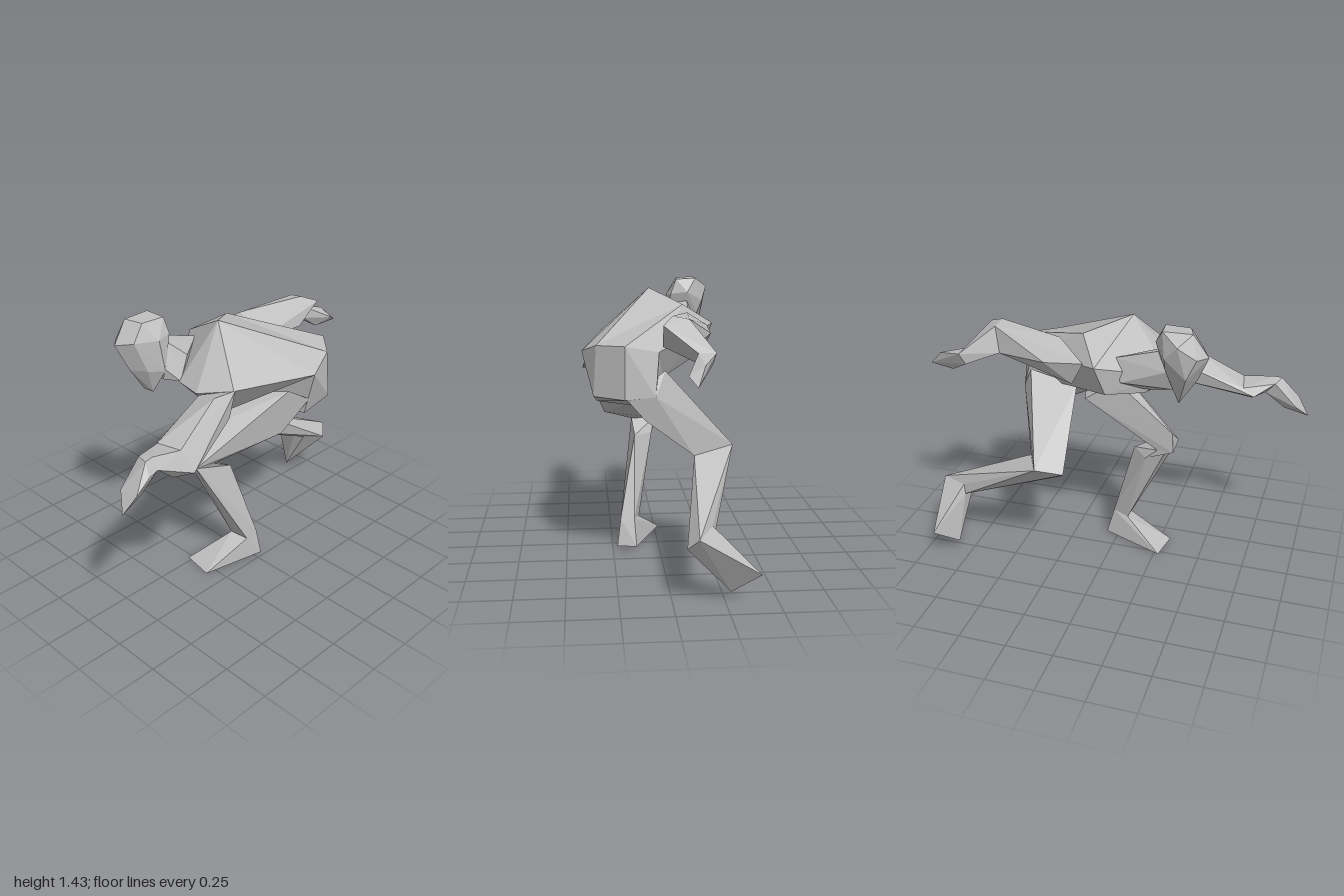
import * as THREE from 'three';
import { ConvexGeometry } from 'three/addons/geometries/ConvexGeometry.js';

const clay = new THREE.MeshStandardMaterial({ color: 0xbfbfbf, flatShading: true });
clay.name = 'clay grey';

// Faceted body part wrapped around corner rings
function hull(name, ...rings) {
  const points = rings.flat().map(p => new THREE.Vector3(...p));
  const mesh = new THREE.Mesh(new ConvexGeometry(points), clay);
  mesh.name = name;
  return mesh;
}

// Limb: each segment joins one ring of joint corners to the next
function limb(name, segments, rings) {
  const group = new THREE.Group();
  group.name = name;
  segments.forEach((s, i) => group.add(hull(s, rings[i], rings[i + 1])));
  return group;
}

export function createModel() {
  const model = new THREE.Group();
  model.name = 'crouchedRunner';

  // Torso: hunched chest, lower back and pelvis
  const shoulderBlade = [-0.12, 1.33, -0.12], belly = [0.10, 0.92, -0.03];
  const waist = [[0.405, 1.11, -0.23], [0.335, 1.16, -0.41], [0.03, 1.13, -0.46]];
  const tailbone = [0.20, 1.17, -0.54], groin = [0.00, 0.98, -0.30];
  model.add(hull('chest',
    [[0.04, 1.40, 0.10], [0.30, 1.15, 0.25], [-0.29, 1.22, -0.01], shoulderBlade],
    [[0.13, 1.11, 0.34], [-0.025, 1.11, 0.31], [-0.235, 1.06, 0.03], [-0.09, 1.03, 0.20],
      [0.17, 0.97, 0.22], belly, groin], waist));
  model.add(hull('lowerBack', [shoulderBlade, belly, groin, tailbone], waist));
  model.add(hull('pelvis', waist,
    [tailbone, groin, [0.35, 0.91, -0.42], [0.20, 0.91, -0.54], [0.05, 0.92, -0.52],
      [0.33, 0.855, -0.25], [0.15, 0.835, -0.29], [0.10, 0.94, -0.10]]));

  // Head, bowed forward with a long chin, and neck
  model.add(hull('head',
    [[-0.24, 1.435, 0.32], [-0.13, 1.43, 0.31], [-0.235, 1.435, 0.47], [-0.14, 1.43, 0.44]],
    [[-0.31, 1.385, 0.41], [-0.28, 1.31, 0.34], [-0.28, 1.32, 0.50], [-0.225, 1.32, 0.55],
      [-0.135, 1.34, 0.50], [-0.08, 1.34, 0.385], [-0.19, 1.36, 0.275], [-0.10, 1.35, 0.30]],
    [[-0.28, 1.21, 0.45], [-0.19, 1.18, 0.49], [-0.11, 1.18, 0.44], [-0.19, 1.045, 0.40],
      [-0.135, 1.045, 0.39], [-0.07, 1.17, 0.36], [-0.25, 1.24, 0.34]]));
  model.add(hull('neck',
    [[-0.20, 1.12, 0.37], [-0.09, 1.12, 0.36], [-0.19, 1.31, 0.29], [-0.10, 1.30, 0.31],
      [-0.23, 1.22, 0.34], [-0.07, 1.18, 0.36]],
    [[-0.025, 1.11, 0.30], [-0.20, 1.12, 0.10], [-0.17, 1.24, 0.06], [-0.06, 1.22, 0.22],
      [-0.09, 1.05, 0.20]]));

  // Left arm reaching forward
  model.add(limb('leftArm', ['leftUpperArm', 'leftForearm', 'leftHand'], [
    [[0.15, 1.11, 0.34], [0.285, 1.15, 0.37], [0.30, 1.15, 0.24], [0.17, 1.01, 0.31],
      [0.31, 1.02, 0.29]],
    [[0.40, 0.89, 0.61], [0.34, 0.875, 0.69], [0.19, 0.95, 0.72], [0.34, 1.00, 0.64],
      [0.20, 0.99, 0.66]],
    [[0.255, 1.01, 0.82], [0.325, 1.025, 0.80], [0.36, 0.97, 0.80], [0.27, 0.95, 0.77]],
    [[0.26, 0.885, 0.94], [0.34, 0.81, 1.00], [0.375, 0.90, 0.94], [0.37, 0.96, 0.86],
      [0.33, 1.02, 0.845], [0.32, 0.85, 0.87]],
  ]));

  // Right arm trailing behind
  model.add(limb('rightArm', ['rightUpperArm', 'rightForearm', 'rightHand'], [
    [[-0.13, 1.30, -0.24], [-0.25, 1.22, -0.08], [-0.245, 1.20, -0.29], [-0.22, 1.09, -0.15],
      [-0.03, 1.15, -0.28]],
    [[-0.10, 1.305, -0.61], [0.03, 1.285, -0.685], [0.02, 1.17, -0.55], [-0.13, 1.17, -0.58],
      [-0.02, 1.32, -0.60]],
    [[-0.205, 1.17, -0.78], [-0.12, 1.17, -0.785], [-0.13, 1.115, -0.755], [-0.19, 1.11, -0.75]],
    [[-0.095, 1.05, -1.00], [-0.06, 1.09, -0.93], [-0.135, 1.135, -0.92], [-0.12, 1.04, -0.86]],
  ]));

  // Left leg: raised knee with the foot planted
  const leftKnee = [[-0.015, 0.775, 0.335], [-0.03, 0.67, 0.345], [0.12, 0.675, 0.34],
    [0.13, 0.66, 0.22], [0.00, 0.655, 0.25]];
  const leftCalf = [[0.12, 0.675, 0.34], [0.01, 0.64, 0.29], [0.02, 0.585, 0.18],
    [0.12, 0.59, 0.09]];
  const leftAnkle = [[0.10, 0.135, 0.06], [0.20, 0.125, 0.04], [0.205, 0.15, -0.03],
    [0.13, 0.15, -0.03]];
  model.add(hull('leftThigh', leftKnee,
    [[0.10, 0.98, -0.01], [0.33, 1.03, -0.12], [0.36, 0.95, -0.25], [0.29, 0.77, -0.12],
      [0.13, 0.84, -0.20]]));
  model.add(hull('leftKnee', leftKnee.slice(1), leftCalf));
  model.add(hull('leftShin', leftCalf, leftAnkle));
  model.add(hull('leftFoot', leftAnkle,
    [[-0.025, 0, 0.275], [0.15, 0, 0.305], [0.225, 0, -0.05], [0.12, 0, -0.07]]));

  // Right leg kicked back
  model.add(limb('rightLeg', ['rightThigh', 'rightShin', 'rightFoot'], [
    [[0.00, 0.98, -0.20], [0.00, 1.04, -0.46], [0.05, 0.92, -0.52], [0.19, 0.91, -0.535],
      [0.10, 0.80, -0.50], [0.15, 0.83, -0.29]],
    [[-0.36, 0.63, -0.32], [-0.32, 0.605, -0.175], [-0.225, 0.535, -0.23], [-0.15, 0.60, -0.42]],
    [[-0.20, 0.31, -0.81], [-0.12, 0.31, -0.80], [-0.06, 0.29, -0.92], [-0.11, 0.35, -0.975],
      [-0.19, 0.365, -0.82]],
    [[-0.41, 0.155, -0.92], [-0.28, 0.04, -0.83]],
  ]));

  return model;
}
